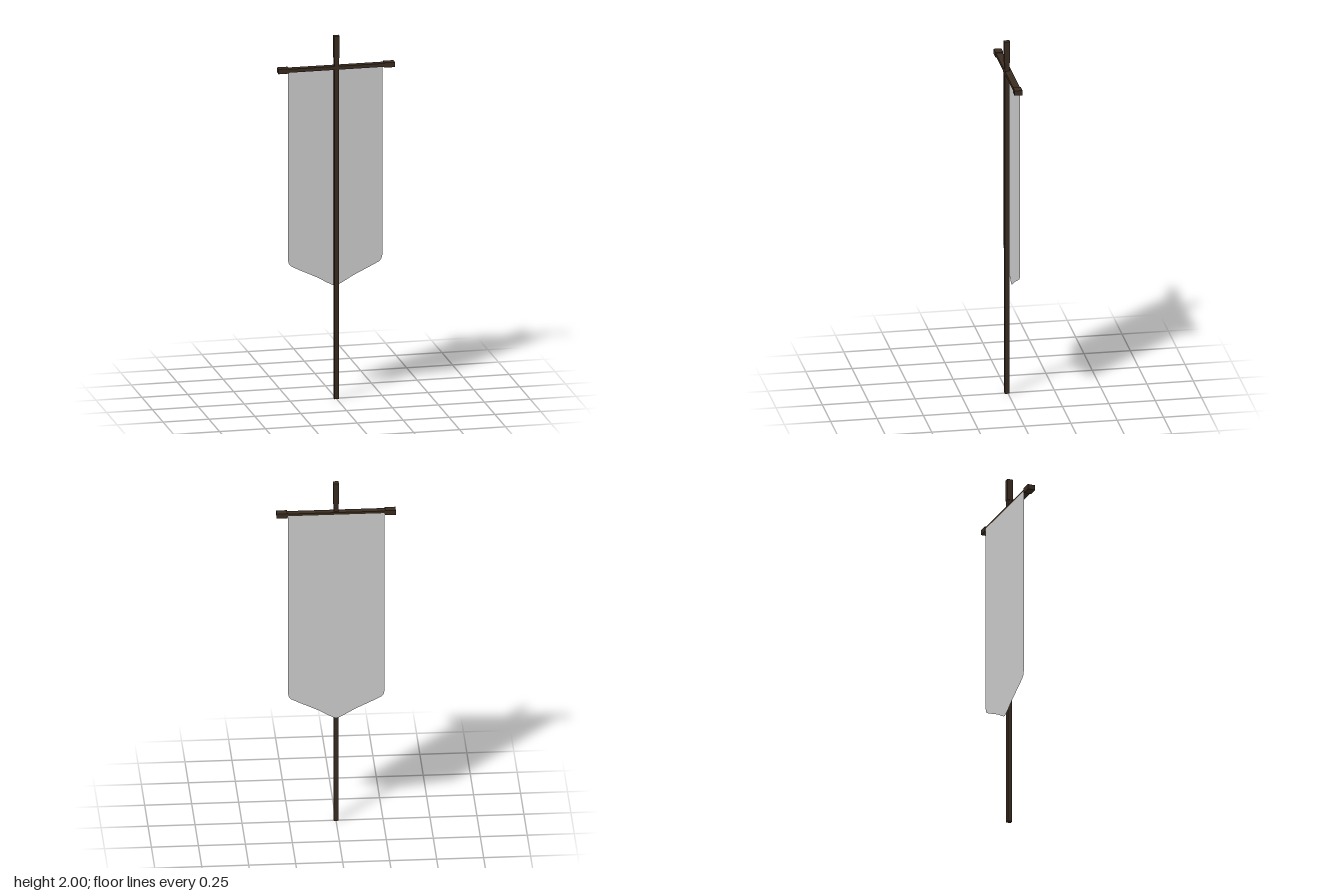
import * as THREE from 'three';

export function createModel() {
  const group = new THREE.Group();
  const wood = new THREE.MeshStandardMaterial({ color: 0x3a2c20 });
  const fabric = new THREE.MeshStandardMaterial({ color: 0xcccccc, side: THREE.DoubleSide });

  // Box given by its lowest and highest corners
  function beam(name, [x0, y0, z0], [x1, y1, z1]) {
    const mesh = new THREE.Mesh(new THREE.BoxGeometry(x1 - x0, y1 - y0, z1 - z0), wood);
    mesh.position.set((x0 + x1) / 2, (y0 + y1) / 2, (z0 + z1) / 2);
    mesh.name = name;
    group.add(mesh);
  }

  // Upright pole with a thicker tip
  beam('pole', [-0.012, 0, -0.007], [0.012, 1.89, 0.018]);
  beam('poleTip', [-0.015, 1.88, -0.01], [0.015, 2, 0.021]);

  // Crossbar with a thicker cap at each end
  beam('crossbar', [-0.27, 1.815, -0.019], [0.27, 1.834, 0.017]);
  beam('rightCap', [-0.317, 1.811, -0.022], [-0.26, 1.838, 0.02]);
  beam('leftCap', [0.26, 1.811, -0.022], [0.317, 1.838, 0.02]);

  // Flat cloth behind the pole, its mirrored lower edge running to a point
  const edge = [[0.257, 1.822], [0.257, 0.77], [0.252, 0.75], [0.24, 0.736],
    [0.195, 0.713], [0.1, 0.668], [0.045, 0.636], [0.015, 0.62]];
  const outline = [
    ...edge.map(([x, y]) => new THREE.Vector2(-x, y)),
    new THREE.Vector2(0, 0.615),
    ...edge.map(([x, y]) => new THREE.Vector2(x, y)).reverse(),
  ];
  const cloth = new THREE.Mesh(new THREE.ShapeGeometry(new THREE.Shape(outline)), fabric);
  cloth.position.z = -0.02;
  cloth.name = 'bannerCloth';
  group.add(cloth);

  return group;
}
